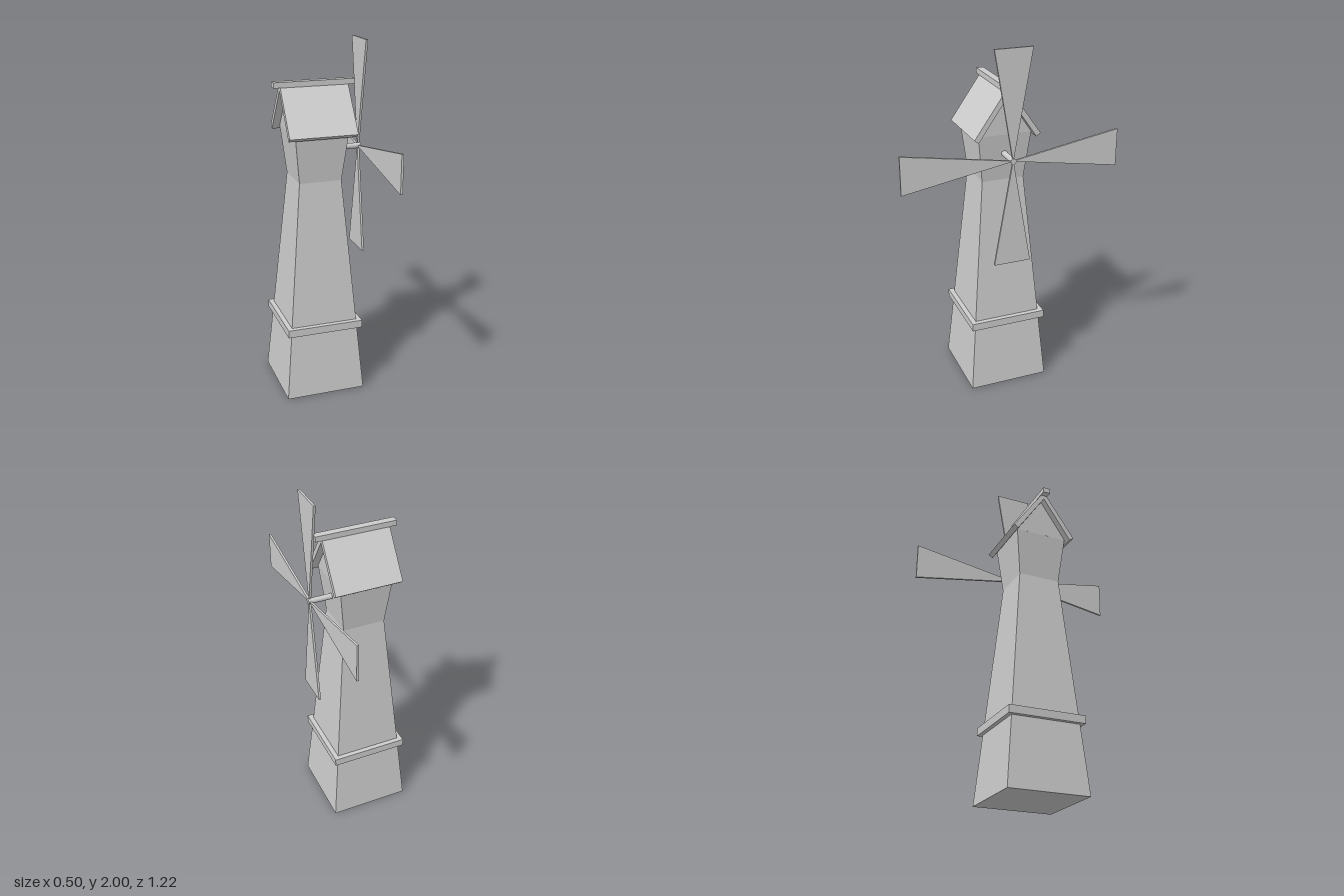
import * as THREE from 'three';

const TOWER_X = -0.023;
const HUB_Y = 1.405;

export function createModel() {
  const group = new THREE.Group();
  const grey = new THREE.MeshStandardMaterial({ color: 0xcccccc });
  grey.name = 'plain grey';

  const add = (name, geometry, x = 0, y = 0, z = 0) => {
    const mesh = new THREE.Mesh(geometry, grey);
    mesh.name = name;
    mesh.position.set(x, y, z);
    group.add(mesh);
    return mesh;
  };

  // Square tapered block given by its half widths at the bottom and top
  const frustum = (bottom, top, height, openTop) => {
    const r = Math.SQRT2;
    const g = new THREE.CylinderGeometry(top * r, bottom * r, height, 4, 1, openTop);
    return g.rotateY(Math.PI / 4).toNonIndexed();
  };
  const flat = (g) => { g.computeVertexNormals(); return g; };

  // Profile in the z-y plane, extruded along x and centred on it
  const prism = (points, width) => {
    const shape = new THREE.Shape(points.map(([z, y]) => new THREE.Vector2(z, y)));
    const g = new THREE.ExtrudeGeometry(shape, { depth: width, bevelEnabled: false });
    return g.translate(0, 0, -width / 2).rotateY(Math.PI / 2);
  };

  // Tower: long taper to the waist, then flaring out to the eaves
  add('lowerTower', flat(frustum(0.229, 0.12, 1.25)), TOWER_X, 0.625);
  add('upperTower', flat(frustum(0.12, 0.15, 0.267)), TOWER_X, 1.3835);
  add('ledge', new THREE.BoxGeometry(0.438, 0.044, 0.438), TOWER_X, 0.407);

  // Gabled cap
  add('gable', prism([[-0.15, 1.515], [0.15, 1.515], [0, 1.735]], 0.3), TOWER_X);
  for (const s of [-1, 1]) {
    const profile = [[0.187 * s, 1.515], [0, 1.782], [0, 1.735], [0.163 * s, 1.497]];
    add(s < 0 ? 'frontRoof' : 'backRoof', prism(profile, 0.382), TOWER_X);
  }
  add('ridgeBeam', new THREE.BoxGeometry(0.458, 0.03, 0.042), TOWER_X, 1.771);

  // Axle and four sails
  add('axle', new THREE.CylinderGeometry(0.016, 0.016, 0.15, 16).rotateZ(Math.PI / 2), 0.175, HUB_Y);
  for (let i = 0; i < 4; i++) {
    const length = i % 2 ? 0.608 : 0.595;
    const sail = prism([[-0.003, 0.012], [0.003, 0.012], [0.105, length], [-0.105, length]], 0.012);
    add('sail', sail, 0.238, HUB_Y).rotation.x = (i * Math.PI) / 2;
  }
  return group;
}
